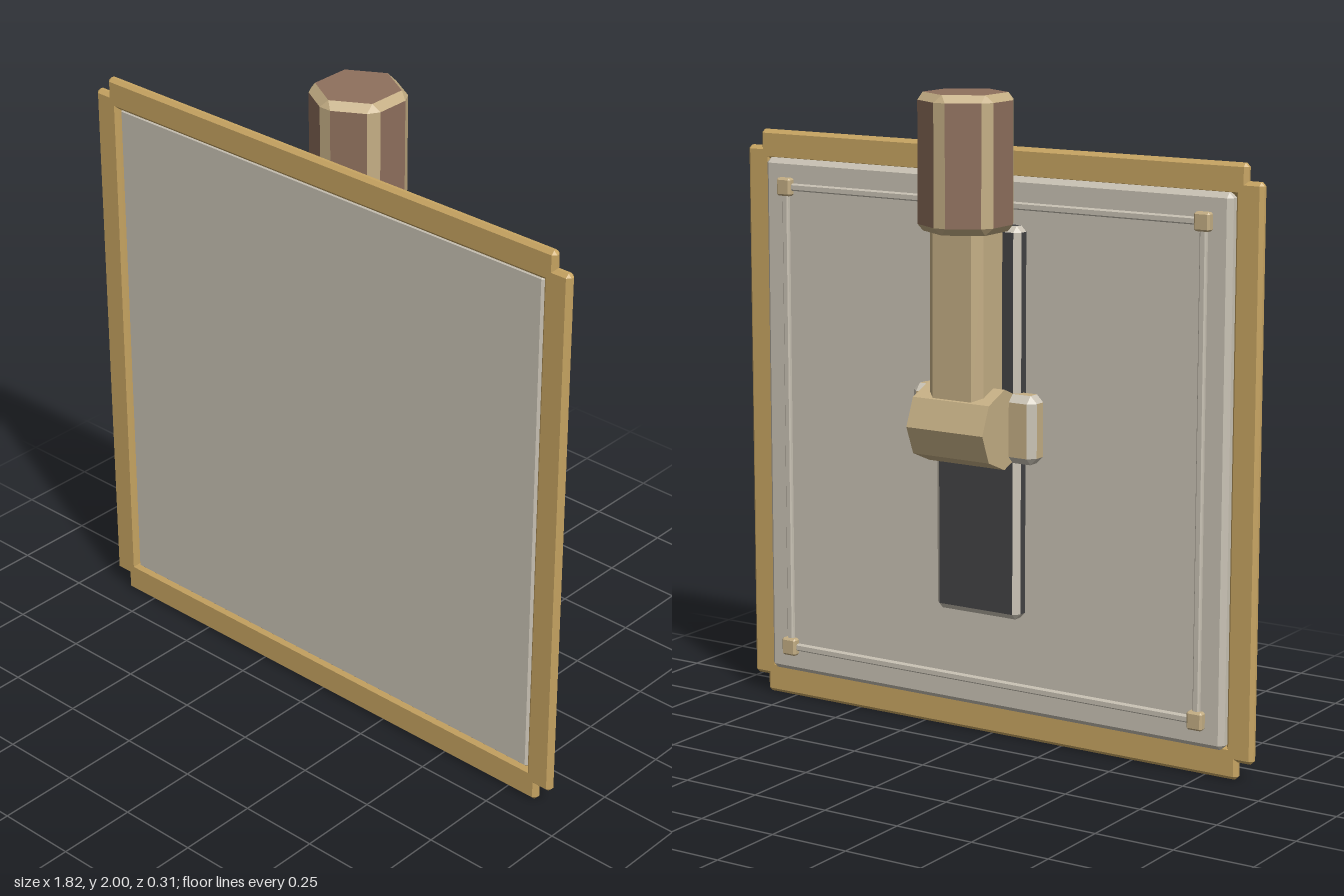
import * as THREE from 'three';

const paint = (name, color) => {
  const m = new THREE.MeshStandardMaterial({ color, flatShading: true });
  m.name = name;
  return m;
};

// Cuts each corner of a polygon given as [x, z] pairs, leaving two points per corner
function cutCorners(points, c) {
  const n = points.length;
  return points.flatMap((p, i) => [points[(i + n - 1) % n], points[(i + 1) % n]].map((q) => {
    const l = Math.hypot(q[0] - p[0], q[1] - p[1]);
    return [p[0] + (q[0] - p[0]) * c / l, p[1] + (q[1] - p[1]) * c / l];
  }));
}

// Upright prism with bevelled edges: group 0 is the main faces, group 1 the bevels
function bevelPrism(outer, inner, cut, bevelY, height) {
  const full = cutCorners(outer, cut), end = cutCorners(inner, 0);
  const h = height / 2, n = full.length;
  const rings = [[end, -h], [full, -h + bevelY], [full, h - bevelY], [end, h]]
    .map(([pts, y]) => pts.map(([x, z]) => new THREE.Vector3(x, y, z)));
  const lists = [[], []];
  const tri = (g, a, b, c) => {
    const area = b.clone().sub(a).cross(c.clone().sub(a)).length();
    if (area > 1e-9) for (const v of [a, b, c]) lists[g].push(v.x, v.y, v.z);
  };
  for (let r = 0; r < 3; r++) {
    for (let i = 0; i < n; i++) {
      const j = (i + 1) % n, g = r === 1 && i % 2 === 1 ? 0 : 1;
      tri(g, rings[r][i], rings[r][j], rings[r + 1][j]);
      tri(g, rings[r][i], rings[r + 1][j], rings[r + 1][i]);
    }
  }
  for (let i = 1; i < n - 1; i++) {
    tri(0, rings[3][0], rings[3][i], rings[3][i + 1]);
    tri(0, rings[0][0], rings[0][i + 1], rings[0][i]);
  }
  const geo = new THREE.BufferGeometry();
  geo.setAttribute('position', new THREE.Float32BufferAttribute(lists.flat(), 3));
  geo.addGroup(0, lists[0].length / 3, 0);
  geo.addGroup(lists[0].length / 3, lists[1].length / 3, 1);
  geo.computeVertexNormals();
  return geo;
}

const rect = (w, d) => [[w, d], [w, -d], [-w, -d], [-w, d]];
const hexagon = (r) => Array.from({ length: 6 }, (_, i) =>
  [r * Math.sin(i * Math.PI / 3), r * Math.cos(i * Math.PI / 3)]);

export function createModel() {
  const model = new THREE.Group();
  const gold = paint('gold frame', 0xc8a562);
  const tan = paint('tan', 0xc4ae84);
  const stone = paint('pale stone', 0xcac3b5);
  const brown = paint('brown wood', 0x8f705d);
  const dark = paint('dark metal', 0x434345);

  const add = (name, geo, material, x, y, z) => {
    const mesh = new THREE.Mesh(geo, material);
    mesh.name = name;
    mesh.position.set(x, y, z);
    model.add(mesh);
    return mesh;
  };
  // Bevelled box given by its minimum and maximum corners
  const box = (name, [x0, y0, z0], [x1, y1, z1], bevel, face, edge = face) => {
    const w = (x1 - x0) / 2, d = (z1 - z0) / 2;
    const geo = bevelPrism(rect(w, d), rect(w - bevel, d - bevel), bevel, bevel, y1 - y0);
    return add(name, geo, [face, edge], (x0 + x1) / 2, (y0 + y1) / 2, (z0 + z1) / 2);
  };

  // Board and its frame
  box('panel', [-0.825, 0.095, 0.1], [0.825, 1.745, 0.148], 0.015, stone);
  box('frameBottom', [-0.86, 0.005, 0.125], [0.86, 0.107, 0.157], 0.011, gold);
  box('frameTop', [-0.86, 1.735, 0.125], [0.86, 1.83, 0.157], 0.011, gold);
  for (const s of [-1, 1]) {
    const c = s * 0.866;
    box('frameSide', [c - 0.045, 0.06, 0.125], [c + 0.045, 1.778, 0.157], 0.011, gold);
  }

  // Back ribs running between four corner studs
  for (const s of [-1, 1]) {
    const x = s * 0.74, y = 0.92 + s * 0.74;
    box('verticalRib', [x - 0.011, 0.19, 0.087], [x + 0.011, 1.65, 0.105], 0.004, stone);
    box('horizontalRib', [-0.73, y - 0.011, 0.087], [0.73, y + 0.011, 0.105], 0.004, stone);
    for (const t of [-1, 1]) {
      const sy = 0.92 + t * 0.74;
      box('stud', [x - 0.026, sy - 0.028, 0.077], [x + 0.026, sy + 0.028, 0.106], 0.006, tan);
    }
  }

  // Back rail and the clamp bar across it
  box('backRail', [-0.15, 0.405, 0.04], [0.15, 1.605, 0.102], 0.018, dark, stone);
  box('clampBar', [-0.22, 0.895, 0.013], [0.22, 1.105, 0.092], 0.022, tan, stone);

  // Pivot, handle and head
  const pivot = add('pivot', new THREE.CylinderGeometry(0.122, 0.122, 0.27, 8), tan, 0, 1.003, -0.01);
  pivot.rotation.z = Math.PI / 2;
  box('handle', [-0.095, 1.0, -0.09], [0.095, 1.62, 0.065], 0.027, tan);
  add('head', bevelPrism(hexagon(0.152), hexagon(0.126), 0.023, 0.022, 0.41),
    [brown, tan], 0, 1.795, -0.015);

  return model;
}
